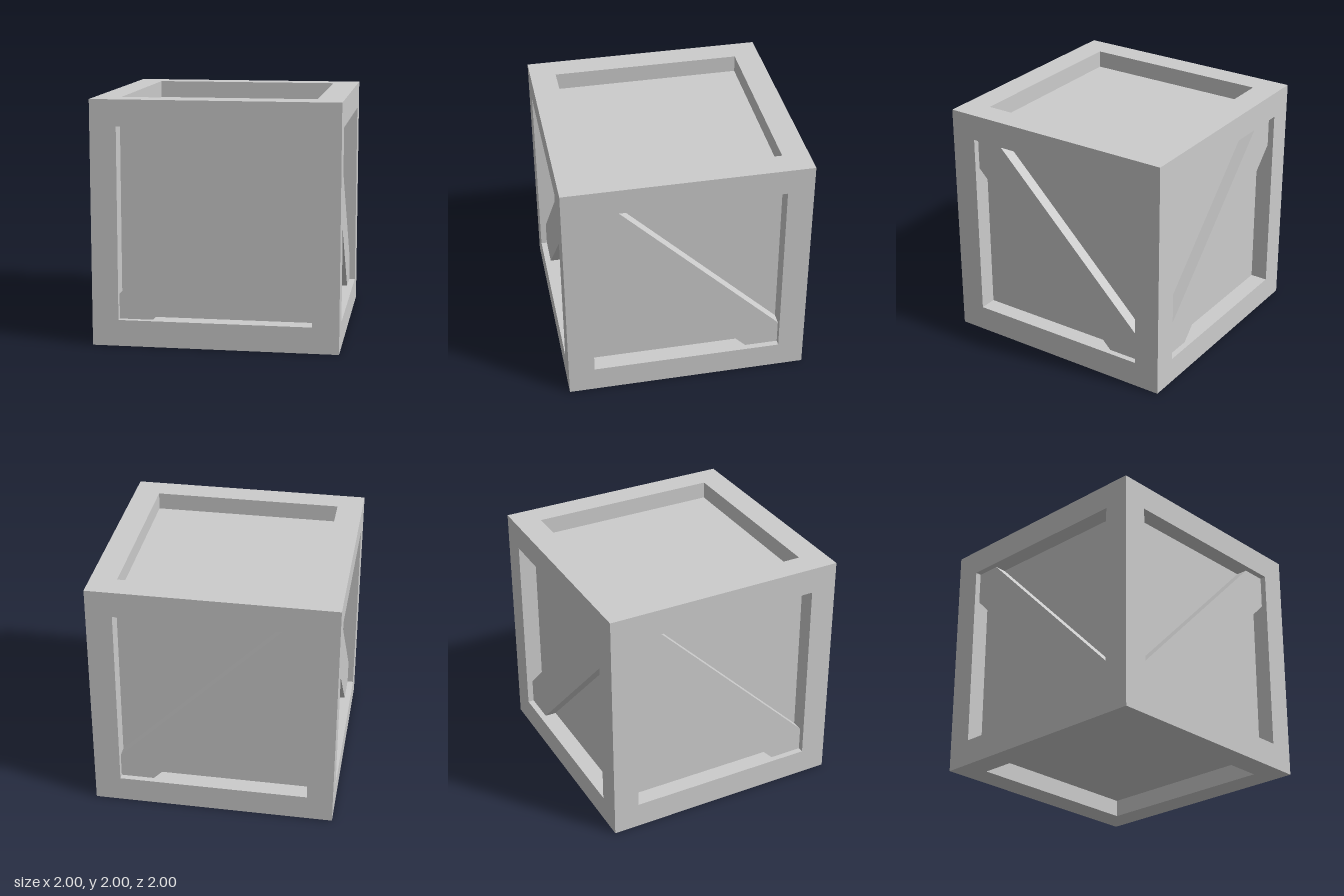
import * as THREE from 'three';

const INNER = 0.785; // half size of the opening in each side
const FLOOR = 0.855; // distance of the recessed panels from the centre
const BRACE = 0.95;  // distance of the brace fronts from the centre

const material = new THREE.MeshStandardMaterial({ color: 0xcccccc, flatShading: true });

function mesh(name, geometry) {
  const m = new THREE.Mesh(geometry, material);
  m.name = name;
  return m;
}

// Square rim with the inner walls of its recess, facing +y: a four-sided lathe
function frameGeometry() {
  const profile = [[1, 1], [INNER, 1], [INNER, FLOOR]]
    .map(([r, y]) => new THREE.Vector2(r * Math.SQRT2, y));
  const g = new THREE.LatheGeometry(profile, 4).rotateY(Math.PI / 4).toNonIndexed();
  g.computeVertexNormals();
  return g;
}

// Diagonal plank trimmed to the opening, facing +z; dir = 1 rises to +x
function braceGeometry(dir) {
  const points = [
    [-INNER, -INNER], [-0.51, -INNER], [INNER, 0.513],
    [INNER, INNER], [0.58, INNER], [-INNER, -0.58],
  ].map(([x, y]) => new THREE.Vector2(x * dir, y));
  return new THREE.ExtrudeGeometry(new THREE.Shape(points), {
    depth: BRACE - FLOOR, bevelEnabled: false,
  }).translate(0, 0, FLOOR);
}

export function createModel() {
  const group = new THREE.Group();
  group.name = 'crate';
  const body = new THREE.Group();
  body.name = 'crateBody';
  body.position.y = 1;
  group.add(body);

  // Recessed panels on all six sides
  body.add(mesh('panels', new THREE.BoxGeometry(2 * FLOOR, 2 * FLOOR, 2 * FLOOR)));

  // Top and bottom frames
  const frame = frameGeometry();
  const bottom = mesh('bottomFrame', frame);
  bottom.rotation.x = Math.PI;
  body.add(mesh('topFrame', frame), bottom);

  // Four upright sides, with braces that meet high and low at alternate corners
  ['front', 'right', 'back', 'left'].forEach((name, i) => {
    const side = new THREE.Group();
    side.name = name + 'Side';
    side.rotation.y = i * Math.PI / 2;
    const rim = mesh(name + 'Frame', frame);
    rim.rotation.x = Math.PI / 2;
    side.add(rim, mesh(name + 'Brace', braceGeometry(i % 2 ? -1 : 1)));
    body.add(side);
  });

  return group;
}
